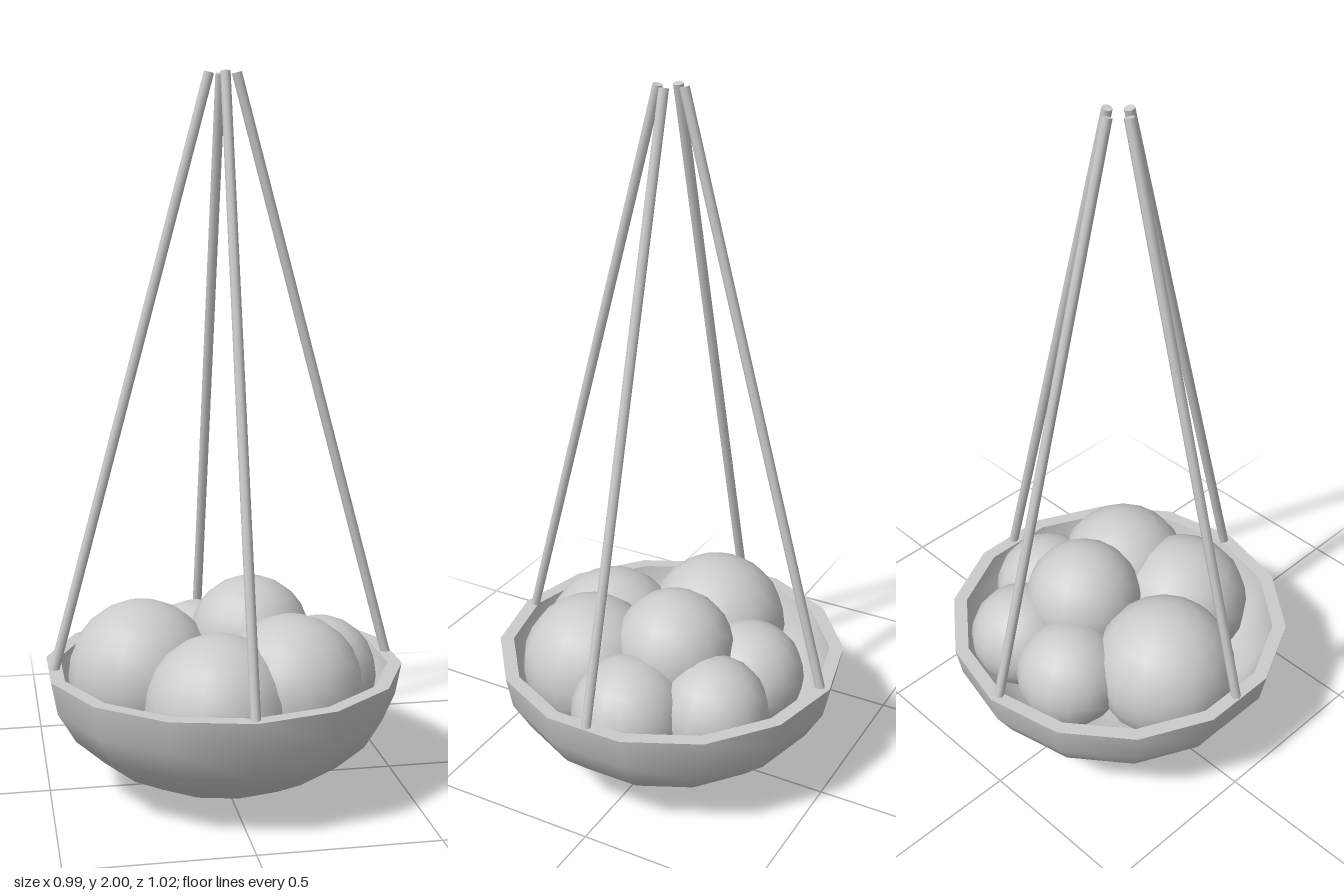
import * as THREE from 'three';

const RIM_Y = 0.36;

export function createModel() {
  const model = new THREE.Group();
  model.name = 'hangingBowl';
  const material = new THREE.MeshStandardMaterial({ color: 0xcccccc });

  const add = (name, geometry, parent = model) => {
    const mesh = new THREE.Mesh(geometry, material);
    mesh.name = name;
    parent.add(mesh);
    return mesh;
  };

  // Points of a half-dome profile, from its lowest point up to the rim
  const domeProfile = (radius, depth, steps = 6) =>
    Array.from({ length: steps + 1 }, (_, i) => {
      const a = (i / steps) * Math.PI / 2;
      return new THREE.Vector2(radius * Math.sin(a), RIM_Y - depth * Math.cos(a));
    });

  // Bowl: outer shell, inner shell and flat rim, kept apart for a sharp rim
  const bowl = new THREE.Group();
  bowl.name = 'bowl';
  model.add(bowl);
  const sides = 14;
  add('bowlOuter', new THREE.LatheGeometry(domeProfile(0.51, 0.36), sides), bowl);
  add('bowlInner', new THREE.LatheGeometry(domeProfile(0.47, 0.32).reverse(), sides), bowl);
  const rim = [new THREE.Vector2(0.51, RIM_Y), new THREE.Vector2(0.47, RIM_Y)];
  add('bowlRim', new THREE.LatheGeometry(rim, sides), bowl);

  // Four rods leaning from the rim towards the centre
  const low = new THREE.Vector3(0.483, 0.35, 0);
  const high = new THREE.Vector3(0.038, 1.996, 0);
  const direction = high.clone().sub(low);
  for (let i = 0; i < 4; i++) {
    const arm = new THREE.Group();
    arm.name = 'hangingRod' + (i + 1);
    arm.rotation.y = i * Math.PI / 2;
    model.add(arm);
    const rod = add('rod', new THREE.CylinderGeometry(0.014, 0.014, direction.length(), 8), arm);
    rod.position.copy(low).add(high).multiplyScalar(0.5);
    rod.quaternion.setFromUnitVectors(new THREE.Vector3(0, 1, 0), direction.clone().normalize());
  }

  // Round fruit piled in the bowl: x, y, z, radius
  const fruit = [
    [-0.23, 0.325, -0.035, 0.21],
    [0.09, 0.41, -0.06, 0.175],
    [0.16, 0.335, 0.18, 0.2],
    [-0.05, 0.3, 0.228, 0.205],
    [0.29, 0.3, -0.022, 0.165],
    [-0.04, 0.305, -0.24, 0.16],
    [0.178, 0.31, -0.235, 0.155],
  ];
  fruit.forEach(([x, y, z, r], i) => {
    const ball = add('fruit' + (i + 1), new THREE.SphereGeometry(r, 16, 12));
    ball.position.set(x, y, z);
  });

  return model;
}
